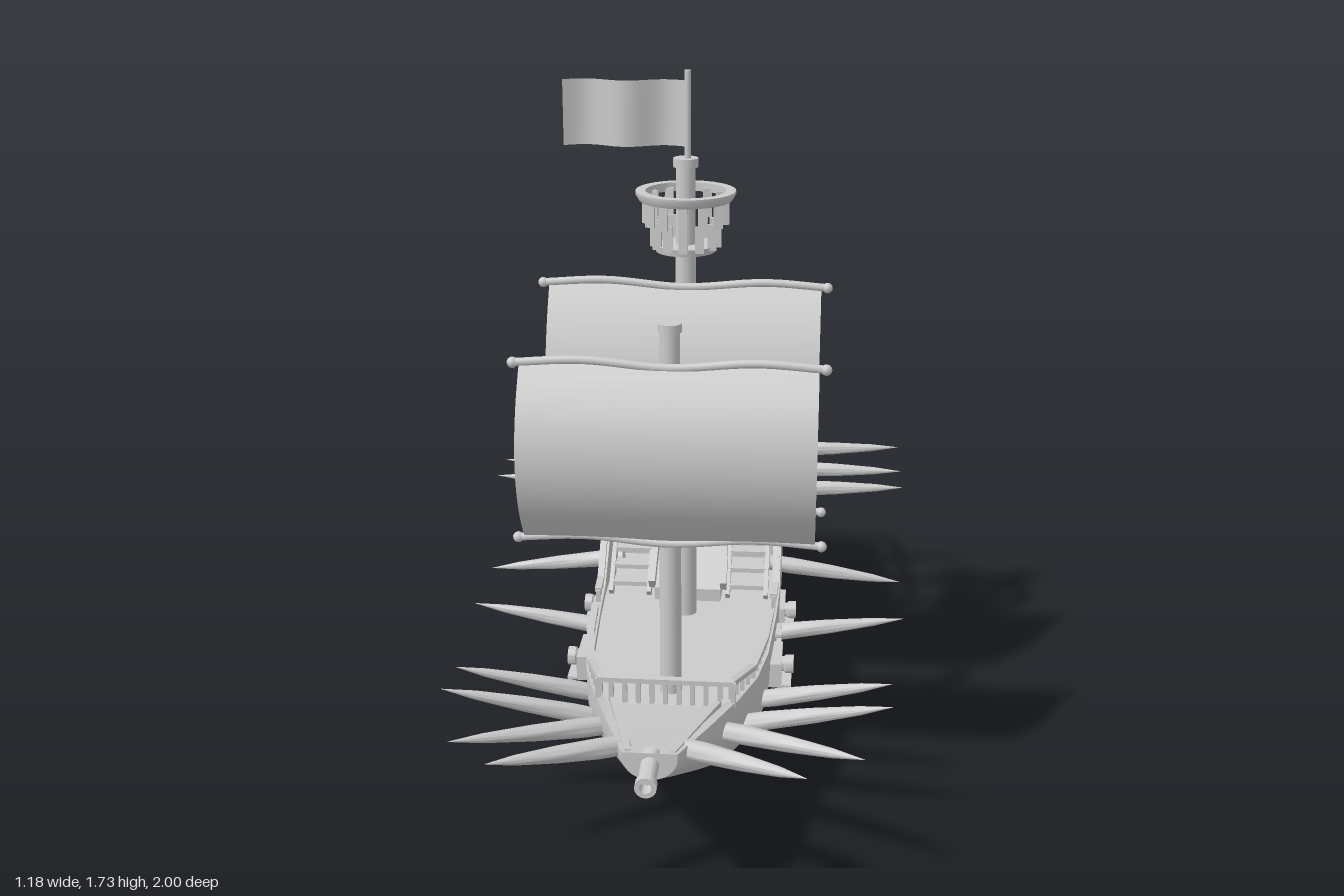
import * as THREE from 'three';
import { toCreasedNormals } from 'three/addons/utils/BufferGeometryUtils.js';

const mat = new THREE.MeshStandardMaterial({ color: 0xcccccc, side: THREE.DoubleSide });
const V = (x, y, z) => new THREE.Vector3(x, y, z);

// Hull stations: z, half width, sheer height, keel height, deck height
const stations = [
  [0.89, 0.06, 0.41, 0.345, 0.4], [0.7, 0.115, 0.37, 0.235, 0.355], [0.53, 0.165, 0.34, 0.138, 0.325],
  [0.52, 0.168, 0.335, 0.132, 0.295], [0.36, 0.21, 0.315, 0.04, 0.29], [0.22, 0.232, 0.31, 0, 0.285],
  [0, 0.245, 0.305, 0, 0.285], [-0.14, 0.25, 0.31, 0, 0.285], [-0.42, 0.25, 0.55, 0, 0.285],
  [-0.43, 0.25, 0.55, 0, 0.53], [-0.48, 0.25, 0.55, 0, 0.53], [-0.62, 0.24, 0.55, 0.09, 0.53],
  [-0.78, 0.222, 0.55, 0.19, 0.53], [-0.9, 0.202, 0.55, 0.17, 0.53],
];

// Half width of the hull at any z
function widthAt(z) {
  for (let i = 1; i < stations.length; i++) {
    const a = stations[i - 1], b = stations[i];
    if (z >= b[0]) return THREE.MathUtils.lerp(a[1], b[1], Math.max(0, (a[0] - z) / (a[0] - b[0])));
  }
  return stations.at(-1)[1];
}

// U-shaped outline from the right gunwale under the keel to the left one
function outline(w, s, k) {
  const e = Math.min(0.22, (s - k) * 0.8), pts = [new THREE.Vector2(-w, s)];
  for (let i = 0; i <= 20; i++) {
    const a = Math.PI * (i / 20);
    pts.push(new THREE.Vector2(-w * Math.cos(a), k + e * (1 - Math.sin(a))));
  }
  pts.push(new THREE.Vector2(w, s));
  return pts;
}

// Skin over closed rings of points
function loft(rows) {
  const n = rows[0].length, index = [];
  for (let i = 0; i < rows.length - 1; i++) for (let j = 0; j < n; j++) {
    const a = i * n + j, b = i * n + (j + 1) % n;
    index.push(a, a + n, b, b, a + n, b + n);
  }
  const g = new THREE.BufferGeometry().setFromPoints(rows.flat());
  g.setIndex(index);
  return toCreasedNormals(g, 0.65);
}

function add(parent, name, geo, x = 0, y = 0, z = 0) {
  const m = new THREE.Mesh(geo, mat);
  m.name = name;
  m.position.set(x, y, z);
  parent.add(m);
  return m;
}
const box = (p, name, w, h, d, x, y, z) => add(p, name, new THREE.BoxGeometry(w, h, d), x, y, z);
const cyl = (p, name, r1, r0, y0, y1, x, z, n = 20) =>
  add(p, name, new THREE.CylinderGeometry(r1, r0, y1 - y0, n), x, (y0 + y1) / 2, z);

// Square bar between two points
function bar(p, name, a, b, w = 0.012, h = w) {
  const m = box(p, name, w, h, a.distanceTo(b), 0, 0, 0);
  m.position.copy(a).lerp(b, 0.5);
  m.lookAt(b);
  return m;
}

function lathe(p, name, profile, n = 16) {
  return add(p, name, toCreasedNormals(new THREE.LatheGeometry(profile.map(q => new THREE.Vector2(...q)), n), 0.6));
}

// Handrail through points, with posts down to a sheer line
function railing(p, pts, height, counts) {
  for (let i = 1; i < pts.length; i++) {
    bar(p, 'handrail', pts[i - 1], pts[i], 0.018, 0.012);
    for (let j = 0; j <= counts[i - 1]; j++) {
      const q = pts[i - 1].clone().lerp(pts[i], j / counts[i - 1]);
      box(p, 'railPost', 0.011, height, 0.011, q.x, q.y - height / 2, q.z);
    }
  }
}

function cannon(p, at, dir, len) {
  const m = lathe(p, 'cannon', [[0, -0.04], [0.022, -0.04], [0.019, len - 0.025], [0.024, len - 0.02], [0.024, len], [0.013, len], [0.011, len - 0.03], [0, len - 0.03]]);
  m.position.copy(at);
  m.quaternion.setFromUnitVectors(V(0, 1, 0), dir);
}

// Rectangular port frame facing +z
function portFrame(w, h, t, depth) {
  const rect = (a, b, T) => new T([[-a, -b], [a, -b], [a, b], [-a, b]].map(q => new THREE.Vector2(...q)));
  const s = rect(w / 2, h / 2, THREE.Shape);
  s.holes.push(rect(w / 2 - t, h / 2 - t, THREE.Path));
  return new THREE.ExtrudeGeometry(s, { depth, bevelEnabled: false });
}

// Square sail between two gently bent yards
function sail(p, y0, y1, z, belly) {
  const g = new THREE.PlaneGeometry(0.68, y1 - y0, 1, 24), pos = g.attributes.position, h = (y1 - y0) / 2;
  for (let i = 0; i < pos.count; i++) pos.setZ(i, belly * (1 - (pos.getY(i) / h) ** 2));
  g.computeVertexNormals();
  add(p, 'sail', g, 0, (y0 + y1) / 2, z);
  for (const y of [y0, y1]) {
    const c = new THREE.CatmullRomCurve3([[-0.36, 0], [-0.2, 0.01], [0, -0.005], [0.2, 0.01], [0.36, 0]].map(q => V(q[0], q[1], 0)));
    add(p, 'yard', new THREE.TubeGeometry(c, 24, 0.01, 8), 0, y, z);
    for (const s of [-1, 1]) add(p, 'yardEnd', new THREE.SphereGeometry(0.013, 10, 8), s * 0.355, y, z);
  }
}

export function createModel() {
  const ship = new THREE.Group();
  ship.name = 'sailingShip';

  // Hull with gunwales and stepped decks
  add(ship, 'hull', loft(stations.map(([z, w, s, k, d]) => [
    ...outline(w, s, k).map(q => V(q.x, q.y, z)),
    V(w - 0.022, s, z), V(w - 0.022, d, z), V(-w + 0.022, d, z), V(-w + 0.022, s, z),
  ])));
  add(ship, 'bowPlate', new THREE.ShapeGeometry(new THREE.Shape(outline(0.06, 0.41, 0.345))), 0, 0, 0.89);
  cannon(ship, V(0, 0.38, 0.89), V(0, 0, 1), 0.09);

  // Stern: raised rim, recessed panel, gun port
  const rim = new THREE.Shape(outline(0.208, 0.555, 0.165));
  rim.holes.push(new THREE.Path(outline(0.18, 0.53, 0.193)));
  add(ship, 'sternRim', new THREE.ExtrudeGeometry(rim, { depth: 0.022, bevelEnabled: false }), 0, 0, -0.907);
  add(ship, 'sternPanel', new THREE.ShapeGeometry(new THREE.Shape(outline(0.2, 0.55, 0.17))), 0, 0, -0.892);
  add(ship, 'sternPort', portFrame(0.1, 0.09, 0.014, 0.03), 0, 0.435, -0.92);
  box(ship, 'sternPortLid', 0.1, 0.01, 0.07, 0, 0.482, -0.935).rotation.x = -0.25;
  cannon(ship, V(0, 0.435, -0.9), V(0, 0, -1), 0.1);

  // Spikes on the right side, mirrored: base and tip
  const spikes = [
    [0.19, 0.47, -0.82, 0.59, 0.48, -0.845], [0.2, 0.47, -0.66, 0.59, 0.48, -0.64], [0.21, 0.47, -0.5, 0.59, 0.48, -0.51],
    [0.2, 0.31, -0.34, 0.585, 0.255, -0.35], [0.18, 0.2, -0.1, 0.585, 0.26, -0.105], [0.18, 0.19, 0.25, 0.535, 0.32, 0.375],
    [0.16, 0.22, 0.42, 0.53, 0.355, 0.55], [0.12, 0.29, 0.57, 0.46, 0.36, 0.795], [0.06, 0.375, 0.8, 0.335, 0.43, 0.995],
  ];
  for (const s of [-1, 1]) {
    for (const [x, y, z, tx, ty, tz] of spikes) {
      const a = V(s * x, y, z), d = V(s * tx, ty, tz).sub(a), L = d.length();
      const m = lathe(ship, 'spike', [[0, 0], [0.021, 0], [0.023, L * 0.2], [0.019, L * 0.5], [0.011, L * 0.8], [0.0005, L]], 12);
      m.position.copy(a);
      m.quaternion.setFromUnitVectors(V(0, 1, 0), d.normalize());
    }

    // Side gun ports
    for (const z of [0.105, -0.215]) {
      add(ship, 'gunPort', portFrame(0.13, 0.065, 0.014, 0.05), s * 0.215, 0.22, z).rotation.y = s * Math.PI / 2;
      box(ship, 'gunPortSill', 0.05, 0.008, 0.13, s * 0.265, 0.19, z);
      cannon(ship, V(s * 0.22, 0.222, z), V(s, 0, 0), 0.075);
    }

    // Boarding ladder
    for (const y of [0.17, 0.215, 0.26]) box(ship, 'ladderRung', 0.04, 0.008, 0.07, s * 0.24, y, -0.01);

    // Railings along the side
    const at = (z, y) => V(s * (widthAt(z) - 0.011), y, z);
    railing(ship, [at(0.53, 0.39), at(0.36, 0.345), at(0.2, 0.34), at(0.04, 0.34)], 0.04, [4, 4, 4]);
    railing(ship, [at(-0.05, 0.34), at(-0.13, 0.34)], 0.04, [2]);
    railing(ship, [at(-0.13, 0.34), at(-0.44, 0.66)], 0.085, [5]);
    railing(ship, [at(-0.44, 0.66), at(-0.62, 0.66), at(-0.78, 0.66), at(-0.885, 0.66)], 0.115, [2, 2, 1]);

    // Foredeck edging
    bar(ship, 'foredeckTrim', V(s * 0.125, 0.335, 0.53), V(s * 0.048, 0.405, 0.88), 0.014);

    // Stairs up to the quarterdeck
    for (let i = 0; i < 7; i++) box(ship, 'stairStep', 0.1, 0.012, 0.042, s * 0.16, 0.315 + i * 0.034, -0.17 - i * 0.038);
    for (const x of [0.108, 0.212]) bar(ship, 'stairStringer', V(s * x, 0.29, -0.14), V(s * x, 0.535, -0.43), 0.012, 0.035);

    // Sloping edge of the central hatch house
    bar(ship, 'hatchEdge', V(s * 0.097, 0.33, -0.12), V(s * 0.09, 0.585, -0.43), 0.018, 0.04);
  }
  railing(ship, [V(-0.16, 0.39, 0.53), V(0.16, 0.39, 0.53)], 0.06, [10]);
  railing(ship, [V(-0.19, 0.66, -0.885), V(0.19, 0.66, -0.885)], 0.115, [6]);

  // Central hatch house: a wedge between the stairs
  const wedge = new THREE.Shape([[0.12, 0.28], [0.43, 0.28], [0.43, 0.56], [0.12, 0.32]].map(q => new THREE.Vector2(...q)));
  add(ship, 'hatchHouse', new THREE.ExtrudeGeometry(wedge, { depth: 0.18, bevelEnabled: false }), -0.09).rotation.y = Math.PI / 2;
  ship.children.at(-1).position.set(-0.09, 0, 0);

  // Helm
  box(ship, 'helmPanel', 0.19, 0.1, 0.025, 0, 0.58, -0.44);
  box(ship, 'helmPanelCap', 0.21, 0.012, 0.035, 0, 0.632, -0.44);
  const helm = new THREE.Group();
  helm.name = 'steeringWheel';
  helm.position.set(0, 0.645, -0.468);
  add(helm, 'wheelRim', new THREE.TorusGeometry(0.042, 0.006, 8, 24));
  add(helm, 'wheelHub', new THREE.CylinderGeometry(0.012, 0.012, 0.05, 12), 0, 0, 0.012).rotation.x = Math.PI / 2;
  for (let i = 0; i < 4; i++) box(helm, 'wheelSpoke', 0.13, 0.007, 0.007, 0, 0, 0).rotation.z = i * Math.PI / 4;
  ship.add(helm);

  // Masts and sails
  cyl(ship, 'foreMast', 0.023, 0.027, 0.28, 1.21, 0, 0.39);
  cyl(ship, 'foreMastCap', 0.028, 0.028, 1.2, 1.22, 0, 0.39);
  cyl(ship, 'mainMast', 0.024, 0.03, 0.28, 1.5, 0, -0.055);
  cyl(ship, 'mainMastCap', 0.031, 0.031, 1.49, 1.512, 0, -0.055);
  sail(ship, 0.7, 1.13, 0.43, 0.095);
  sail(ship, 0.6, 1.2, -0.018, 0.11);

  // Crow's nest
  const nest = new THREE.Group();
  nest.name = 'crowsNest';
  nest.position.set(0, 1.28, -0.055);
  lathe(nest, 'nestFloor', [[0, 0], [0.075, 0], [0.079, 0.018], [0, 0.018]], 24);
  lathe(nest, 'nestRim', [[0.1, 0.13], [0.115, 0.128], [0.125, 0.145], [0.125, 0.152], [0.1, 0.152], [0.1, 0.13]], 24);
  for (let i = 0; i < 12; i++) {
    const a = i * Math.PI / 6, at = (r, y) => V(r * Math.sin(a), y, r * Math.cos(a));
    bar(nest, 'nestSlat', at(0.072, 0.01), at(0.084, 0.075), 0.022, 0.01);
    bar(nest, 'nestSlat', at(0.083, 0.07), at(0.11, 0.138), 0.022, 0.01);
  }
  ship.add(nest);

  // Flag
  cyl(ship, 'flagPole', 0.008, 0.008, 1.5, 1.725, 0.005, -0.05, 10);
  const flag = new THREE.PlaneGeometry(0.3, 0.16, 24, 1), fp = flag.attributes.position;
  for (let i = 0; i < fp.count; i++) fp.setZ(i, 0.016 * Math.sin((fp.getX(i) - 0.15) * 32));
  flag.computeVertexNormals();
  add(ship, 'flag', flag, -0.15, 1.62, -0.05);
  return ship;
}
